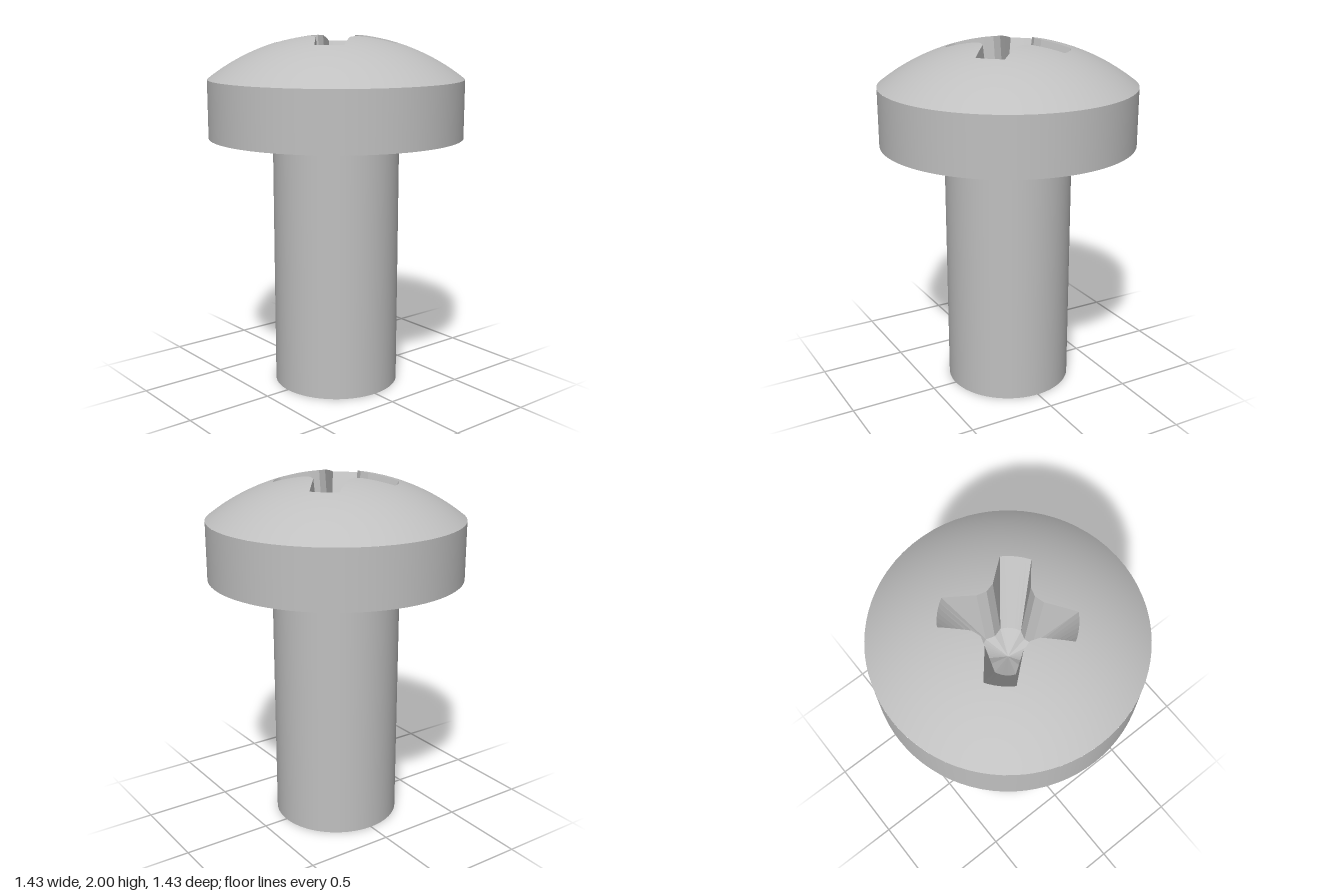
import * as THREE from 'three';

const HEAD_R = 0.715, RIM_Y = 1.765, HEAD_Y = 1.44, SHANK_R = 0.357;
const APEX_Y = 2.012, DOME_R = 1.158;           // sphere that forms the dome
const PIT_Y = 1.56, PIT_R = 0.134, PIT_TIP_Y = 1.49;
const domeY = r => APEX_Y - DOME_R + Math.sqrt(DOME_R * DOME_R - r * r);
const polar = (r, a) => [r * Math.sin(a), r * Math.cos(a)];
const mix = (p, q, t) => [p[0] + (q[0] - p[0]) * t, p[1] + (q[1] - p[1]) * t];

// Cross recess outline: matching [x, z] points on the dome and at the pit floor
function recessOutline() {
  const quarter = [];
  const crease = [0, 0.165], shoulder = [0.05, 0.18], tip = [0.18, 0.29];
  const creaseLow = [0, 0.11], shoulderLow = [0.048, 0.125];
  const edge = (p, q, pl, ql, n) => {
    for (let i = 0; i < n; i++) quarter.push([mix(p, q, i / n), mix(pl, ql, i / n)]);
  };
  const flip = ([x, z]) => [z, x];
  edge(crease, shoulder, creaseLow, shoulderLow, 3);
  edge(shoulder, tip, shoulderLow, shoulderLow, 4);
  // rounded end of the wing
  const a0 = Math.atan2(...tip), b0 = Math.atan2(...shoulderLow), n = 6;
  for (let i = 0; i < n; i++) {
    const t = i / n;
    quarter.push([
      polar(Math.hypot(...tip), a0 + (Math.PI / 2 - 2 * a0) * t),
      polar(PIT_R, b0 + (Math.PI / 2 - 2 * b0) * t),
    ]);
  }
  edge(flip(tip), flip(shoulder), flip(shoulderLow), flip(shoulderLow), 4);
  edge(flip(shoulder), flip(crease), flip(shoulderLow), flip(creaseLow), 3);

  const outline = [];
  for (let k = 0; k < 4; k++) {
    const c = Math.cos(k * Math.PI / 2), s = Math.sin(k * Math.PI / 2);
    const turn = ([x, z]) => [x * c + z * s, z * c - x * s];
    for (const [top, low] of quarter) outline.push([turn(top), turn(low)]);
  }
  return outline;
}

// Dome surface from the recess edge out to the rim, with sphere normals
function domeGeometry(outline) {
  const rings = 12, n = outline.length, pos = [], nor = [], index = [];
  for (let j = 0; j <= rings; j++) {
    for (const [[x, z]] of outline) {
      const r0 = Math.hypot(x, z), r = r0 + (HEAD_R - r0) * j / rings;
      const px = x / r0 * r, pz = z / r0 * r, y = domeY(r);
      pos.push(px, y, pz);
      nor.push(px / DOME_R, (y - APEX_Y + DOME_R) / DOME_R, pz / DOME_R);
    }
  }
  for (let j = 0; j < rings; j++) {
    for (let i = 0; i < n; i++) {
      const a = j * n + i, b = j * n + (i + 1) % n;
      index.push(a, a + n, b + n, a, b + n, b);
    }
  }
  const g = new THREE.BufferGeometry();
  g.setAttribute('position', new THREE.Float32BufferAttribute(pos, 3));
  g.setAttribute('normal', new THREE.Float32BufferAttribute(nor, 3));
  g.setIndex(index);
  return g;
}

// Tapered recess walls and the shallow cone at the bottom, faceted
function recessGeometry(outline) {
  const pos = [];
  const tri = (...pts) => pts.forEach(p => pos.push(...p));
  const tip = [0, PIT_TIP_Y, 0];
  const top = ([x, z]) => [x, domeY(Math.hypot(x, z)), z];
  const low = ([x, z]) => [x, PIT_Y, z];
  outline.forEach(([t, l], i) => {
    const [t2, l2] = outline[(i + 1) % outline.length];
    tri(low(l), top(t), top(t2));
    if (Math.hypot(l[0] - l2[0], l[1] - l2[1]) > 1e-6) {
      tri(low(l), top(t2), low(l2));
      tri(tip, low(l), low(l2));
    }
  });
  const g = new THREE.BufferGeometry();
  g.setAttribute('position', new THREE.Float32BufferAttribute(pos, 3));
  g.computeVertexNormals();
  return g;
}

export function createModel() {
  const model = new THREE.Group();
  model.name = 'screw';
  const steel = new THREE.MeshStandardMaterial({ color: 0xc0c0c0 });
  steel.name = 'steel grey';
  const add = (name, geometry) => {
    const mesh = new THREE.Mesh(geometry, steel);
    mesh.name = name;
    model.add(mesh);
  };
  const lathe = pts => new THREE.LatheGeometry(pts.map(p => new THREE.Vector2(...p)), 80);

  // Shank with a small fillet under the head
  const f = 0.032, fillet = [];
  for (let i = 1; i <= 6; i++) {
    const a = i / 6 * Math.PI / 2;
    fillet.push([SHANK_R + f * (1 - Math.cos(a)), HEAD_Y - f + f * Math.sin(a)]);
  }
  add('shankEnd', lathe([[0, 0], [SHANK_R, 0]]));
  add('shank', lathe([[SHANK_R, 0], [SHANK_R, HEAD_Y - f]]));
  add('fillet', lathe([[SHANK_R, HEAD_Y - f], ...fillet]));

  // Head
  add('headUnderside', lathe([[SHANK_R + f, HEAD_Y], [HEAD_R, HEAD_Y]]));
  add('headSide', lathe([[HEAD_R, HEAD_Y], [HEAD_R, RIM_Y]]));
  const outline = recessOutline();
  add('headDome', domeGeometry(outline));
  add('crossRecess', recessGeometry(outline));
  return model;
}
